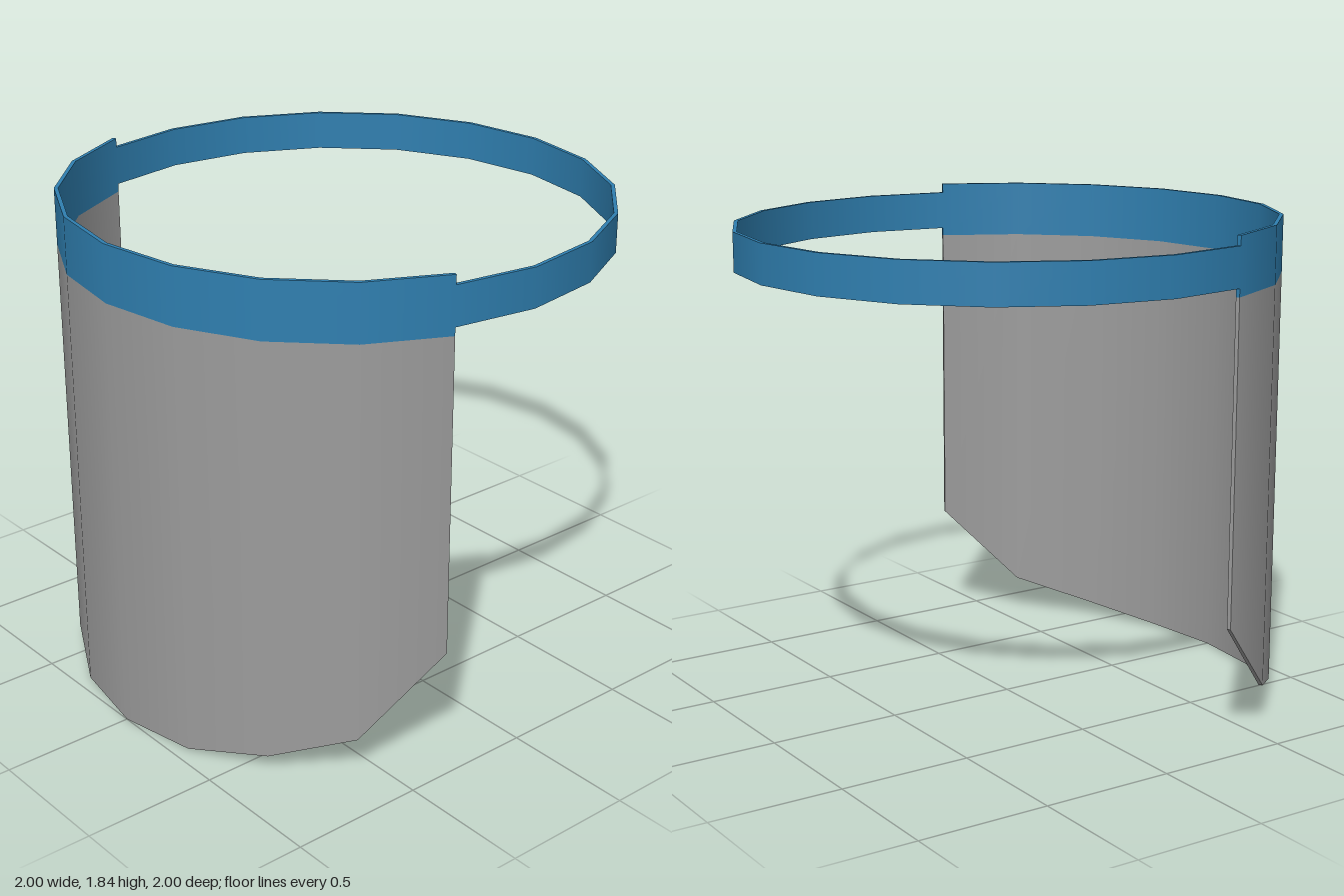
import * as THREE from 'three';

const OUTER = 1, INNER = 0.985, STEP = Math.PI / 10; // 20-sided ring

// Points at step k round the ring (0 = front, positive towards +x)
const point = (k, r, y) => [r * Math.sin(k * STEP), y, r * Math.cos(k * STEP)];

// Thin curved wall between steps from..to, with bottom(k) and top(k) heights
function wall(name, material, from, to, bottom, top) {
  const pos = [], nor = [], index = [];

  // Ribbon between two rows of points; radial: 1 outward, -1 inward, 0 flat per face
  function ribbon(a, b, radial) {
    for (let i = 0; i < a.length - 1; i++) {
      const quad = [a[i], a[i + 1], b[i + 1], b[i]];
      const [p, q, , s] = quad.map((v) => new THREE.Vector3(...v));
      const flat = q.sub(p).cross(s.sub(p)).normalize();
      const base = pos.length / 3;
      for (const v of quad) {
        pos.push(...v);
        const n = radial ? new THREE.Vector3(v[0], 0, v[2]).normalize().multiplyScalar(radial) : flat;
        nor.push(n.x, n.y, n.z);
      }
      index.push(base, base + 1, base + 2, base, base + 2, base + 3);
    }
  }

  const steps = Array.from({ length: to - from + 1 }, (_, i) => from + i);
  const row = (r, height) => steps.map((k) => point(k, r, height(k)));
  const ob = row(OUTER, bottom), ot = row(OUTER, top);
  const ib = row(INNER, bottom), it = row(INNER, top);
  const e = steps.length - 1;

  ribbon(ob, ot, 1);
  ribbon(it, ib, -1);
  ribbon(ot, it, 0);
  ribbon(ib, ob, 0);
  ribbon([ib[0], ob[0]], [it[0], ot[0]], 0);
  ribbon([ob[e], ib[e]], [ot[e], it[e]], 0);

  const geometry = new THREE.BufferGeometry();
  geometry.setAttribute('position', new THREE.Float32BufferAttribute(pos, 3));
  geometry.setAttribute('normal', new THREE.Float32BufferAttribute(nor, 3));
  geometry.setIndex(index);
  const mesh = new THREE.Mesh(geometry, material);
  mesh.name = name;
  return mesh;
}

export function createModel() {
  const blue = new THREE.MeshStandardMaterial({ color: 0x2f7fb0 });
  blue.name = 'blue band';
  const grey = new THREE.MeshStandardMaterial({ color: 0x9c9c9c });
  grey.name = 'grey visor';

  const group = new THREE.Group();
  group.name = 'faceShield';

  // Visor with its lower edge rising towards both sides
  const lowerEdge = [0, 0.01, 0.06, 0.145, 0.45];
  group.add(wall('visor', grey, -4, 4, (k) => lowerEdge[Math.abs(k)], () => 1.625));

  // Wide brow band at the front, narrower strap round the back
  group.add(wall('browBand', blue, -4, 4, () => 1.625, () => 1.835));
  group.add(wall('headStrap', blue, 4, 16, () => 1.655, () => 1.8));

  return group;
}
